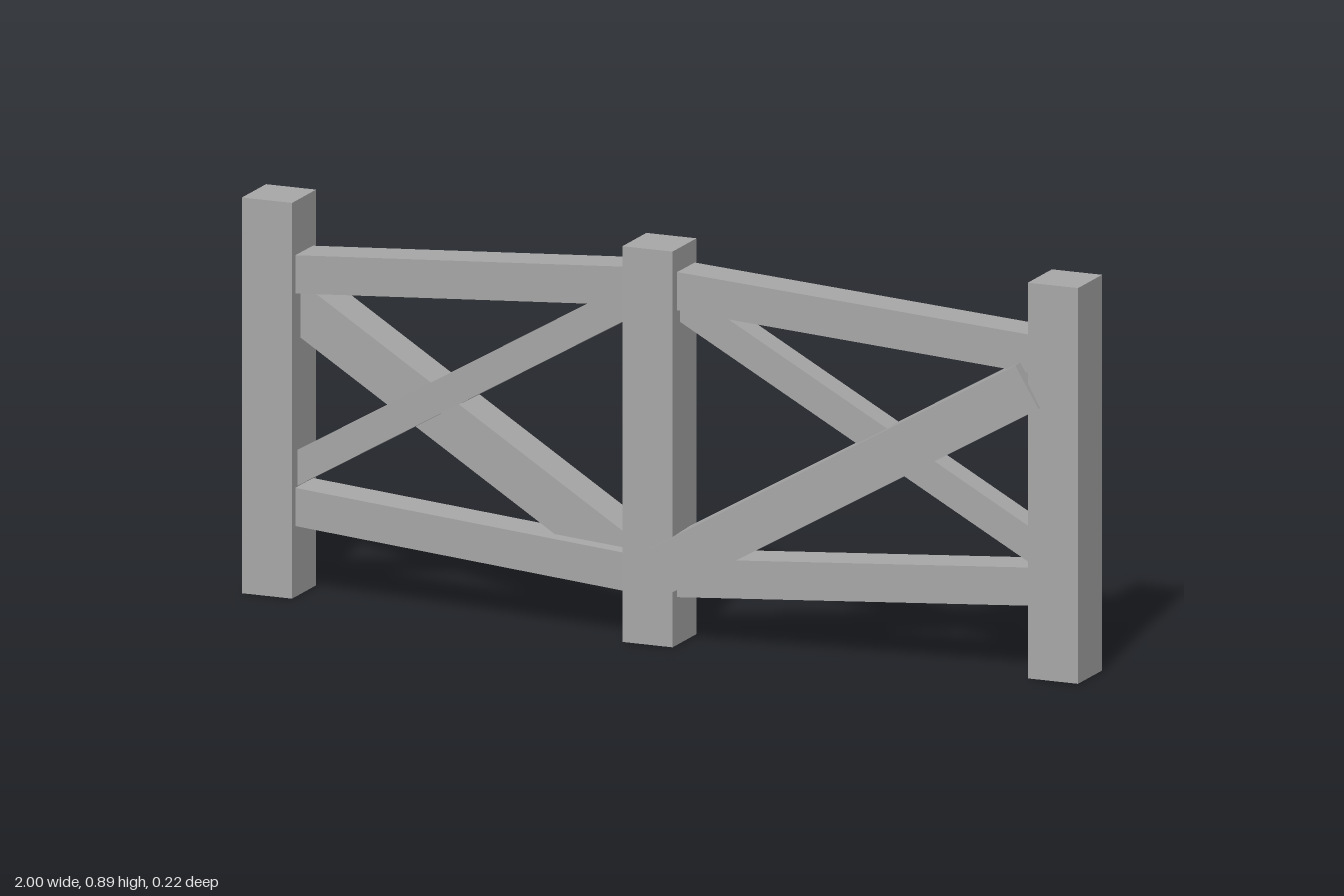
import * as THREE from 'three';

const grey = new THREE.MeshStandardMaterial({ color: 0xa8a8a8 });
grey.name = 'plain grey';

// Square-ended beam between two points; its wide face stays upright
function beam(name, from, to, height, depth) {
  const a = new THREE.Vector3(...from);
  const b = new THREE.Vector3(...to);
  const along = b.clone().sub(a);
  const length = along.length();
  along.normalize();
  const across = new THREE.Vector3().crossVectors(along, new THREE.Vector3(0, 1, 0)).normalize();
  const up = new THREE.Vector3().crossVectors(across, along);
  const mesh = new THREE.Mesh(new THREE.BoxGeometry(length, height, depth), grey);
  mesh.quaternion.setFromRotationMatrix(new THREE.Matrix4().makeBasis(along, up, across));
  mesh.position.copy(a).add(b).multiplyScalar(0.5);
  mesh.name = name;
  return mesh;
}

function post(name, x, z) {
  const mesh = new THREE.Mesh(new THREE.BoxGeometry(0.12, 0.893, 0.13), grey);
  mesh.position.set(x, 0.4465, z);
  mesh.name = name;
  return mesh;
}

export function createModel() {
  const fence = new THREE.Group();
  fence.name = 'fence';

  // Three posts, the middle one set forward
  fence.add(
    post('rightPost', -0.94, -0.025),
    post('middlePost', -0.003, 0.036),
    post('leftPost', 0.94, -0.025),
  );

  // Rails and thin braces, mirrored for both bays
  for (const [side, s] of [['left', 1], ['right', -1]]) {
    fence.add(
      beam(side + 'TopRail', [0.03 * s, 0.8, 0.03], [0.91 * s, 0.725, -0.027], 0.086, 0.095),
      beam(side + 'BottomRail', [0.03 * s, 0.149, 0.03], [0.91 * s, 0.205, -0.027], 0.086, 0.095),
      beam(side + 'ThinBrace', [0.03 * s, 0.78, 0.027], [0.91 * s, 0.27, -0.027], 0.07, 0.07),
    );
  }

  // Wide braces: one nailed on the front, the other on the back
  fence.add(
    beam('leftWideBrace', [0.03, 0.173, 0.06], [0.88, 0.66, 0.003], 0.108, 0.1),
    beam('rightWideBrace', [-0.055, 0.15, -0.012], [-0.925, 0.67, -0.058], 0.108, 0.1),
  );
  return fence;
}
